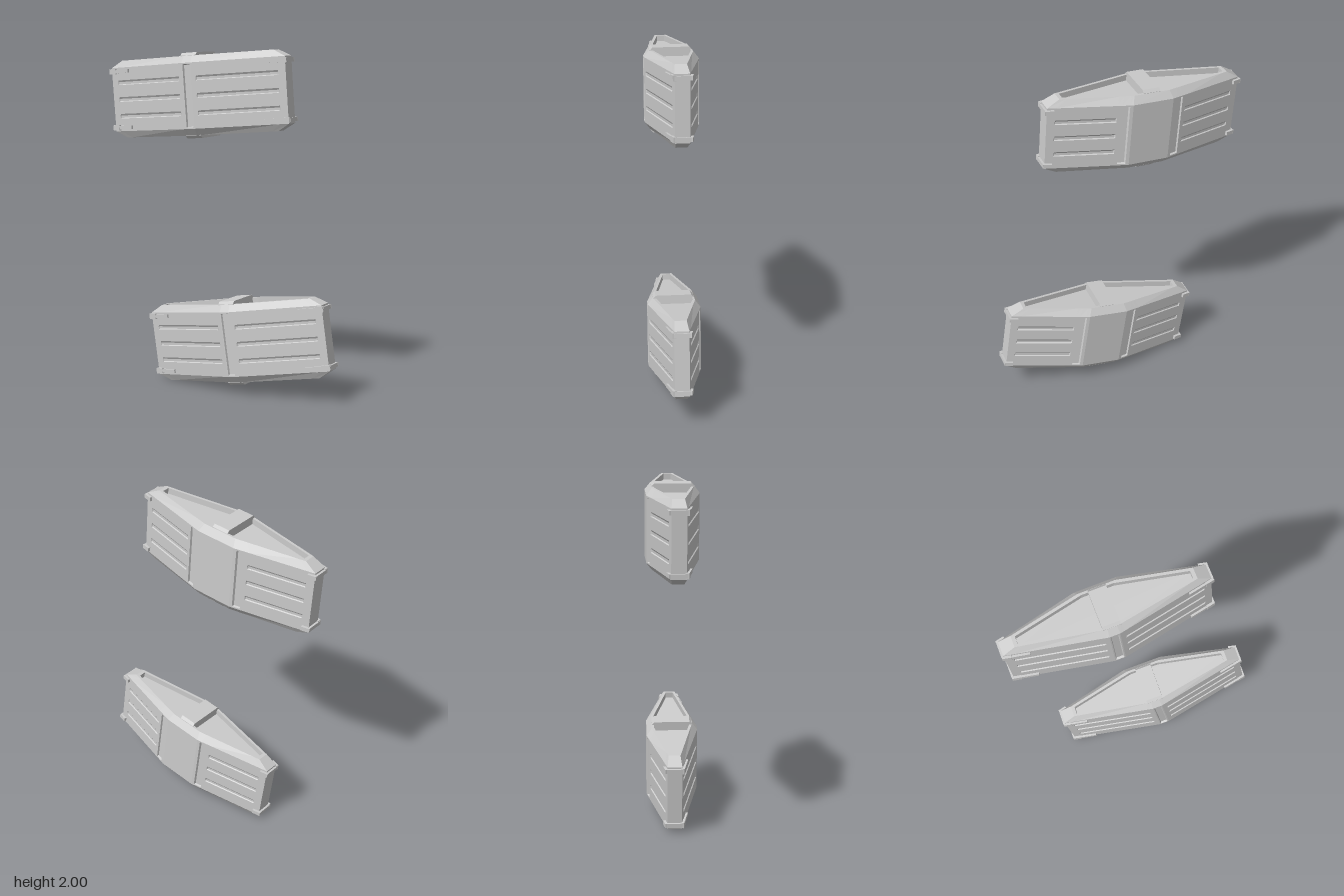
import * as THREE from 'three';

const material = new THREE.MeshStandardMaterial({ color: 0xcccccc, flatShading: true });
const CAP_Y = 0.23, WALL_Y = 0.19, FLOOR_Y = 0.195, CAP_X = 0.875, CAP_Z = 0.8;
const END_X = 0.578, END_Z = 0.042, DEEP = 0.152;
const frontZ = x => DEEP - (x - 0.03) * (DEEP - END_Z) / (END_X - 0.03);
const backZ = x => -DEEP + (x - 0.12) * (DEEP - END_Z) / (END_X - 0.12);

function add(parent, name, geometry) {
  const mesh = new THREE.Mesh(geometry, material);
  mesh.name = name;
  parent.add(mesh);
  return mesh;
}

// Half outline, front centre to back centre: x, z, kind of recess (S slot, R panel groove)
function outline() {
  const half = [
    [0.019, DEEP, 'S'], [0.023, DEEP, ''], [0.03, DEEP, ''],
    ...[[0.055, ''], [0.06, 'R'], [0.53, 'R'], [0.535, '']].map(([x, k]) => [x, frontZ(x), k]),
    [END_X, END_Z, ''], [END_X, -END_Z, ''],
    ...[[0.535, ''], [0.53, 'R'], [0.21, 'R'], [0.205, ''], [0.185, ''], [0.181, 'S'], [0.142, 'S'], [0.138, '']]
      .map(([x, k]) => [x, backZ(x), k]),
    [0.12, -DEEP, ''],
  ];
  return [...half, ...half.slice().reverse().map(([x, z, k]) => [-x, z, k])];
}

// Faceted shell lofted through horizontal rings, with grooves pressed into the walls
function shellGeometry() {
  const section = outline();
  const levels = [[-CAP_Y, 'cap'], [-WALL_Y, ''], [-0.182, ''], [-0.178, 'S']];
  for (const y of [-0.1, 0, 0.1]) {
    levels.push([y - 0.014, 'S'], [y - 0.01, 'SR'], [y + 0.004, 'SR'], [y + 0.014, 'S']);
  }
  levels.push([0.178, 'S'], [0.182, ''], [WALL_Y, ''], [CAP_Y, 'cap']);
  const rings = levels.map(([y, mode]) => section.map(([x, z, kind]) => {
    if (mode === 'cap') return [x * CAP_X, y, z * CAP_Z];
    const push = kind && mode.includes(kind) ? (kind === 'S' ? 0.012 : 0.006) : 0;
    return [x, y, z - Math.sign(z) * push];
  }));
  const positions = [];
  for (let r = 0; r < rings.length - 1; r++) {
    const a = rings[r], b = rings[r + 1];
    for (let i = 0; i < a.length; i++) {
      const j = (i + 1) % a.length;
      positions.push(...a[i], ...a[j], ...b[j], ...a[i], ...b[j], ...b[i]);
    }
  }
  const geometry = new THREE.BufferGeometry();
  geometry.setAttribute('position', new THREE.Float32BufferAttribute(positions, 3));
  geometry.computeVertexNormals();
  return geometry;
}

const capPoints = () => [
  [0.03, DEEP], [END_X, END_Z], [END_X, -END_Z], [0.12, -DEEP],
  [-0.12, -DEEP], [-END_X, -END_Z], [-END_X, END_Z], [-0.03, DEEP],
].map(([x, z]) => new THREE.Vector2(x * CAP_X, -z * CAP_Z));

// Capped end: rim with two tapered openings, recessed floor and a raised cross strap
function capGroup() {
  const group = new THREE.Group();
  const rim = new THREE.Shape(capPoints());
  for (const s of [1, -1]) {
    rim.holes.push(new THREE.Path([[0.05, 0.102], [0.485, 0.022], [0.485, -0.022], [0.09, -0.108], [0.05, -0.108]]
      .map(([x, z]) => new THREE.Vector2(s * x, -z))));
  }
  const rimGeometry = new THREE.ExtrudeGeometry(rim, { depth: CAP_Y - FLOOR_Y, bevelEnabled: false });
  add(group, 'rim', rimGeometry.rotateX(-Math.PI / 2).translate(0, FLOOR_Y, 0));
  const floor = new THREE.ShapeGeometry(new THREE.Shape(capPoints()));
  add(group, 'recessFloor', floor.rotateX(-Math.PI / 2).translate(0, FLOOR_Y, 0));

  const profile = new THREE.Shape([[-0.12, 0.19], [0.12, 0.19], [0.12, 0.232], [0.105, 0.247], [-0.105, 0.247], [-0.12, 0.232]]
    .map(p => new THREE.Vector2(...p)));
  const strap = new THREE.ExtrudeGeometry(profile, { depth: 0.1, bevelEnabled: false });
  add(group, 'crossStrap', strap.translate(0, 0, -0.05).rotateY(Math.PI / 2));
  return group;
}

// Clip wrapping one end of the shell
function addClip(parent, side, y) {
  const clip = new THREE.Group();
  clip.name = 'endClip';
  clip.position.y = y;
  const frontAngle = Math.atan2(DEEP - END_Z, END_X - 0.03);
  const backAngle = Math.atan2(DEEP - END_Z, END_X - 0.12);
  const arm = (name, length, height, thick, x, z, angle) => {
    const mesh = add(clip, name, new THREE.BoxGeometry(length, height, thick));
    mesh.position.set(side * x, 0, z);
    mesh.rotation.y = side * angle;
  };
  arm('frontArm', 0.14, 0.022, 0.018, 0.51, frontZ(0.51) + 0.003, frontAngle);
  arm('frontPad', 0.05, 0.032, 0.022, 0.563, frontZ(0.563) + 0.003, frontAngle);
  arm('endBar', 0.016, 0.024, 0.1, 0.582, -0.005, 0);
  arm('backArm', 0.05, 0.024, 0.022, 0.565, backZ(0.565) - 0.004, -backAngle);
  parent.add(clip);
}

function container(name) {
  const group = new THREE.Group();
  group.name = name;
  add(group, 'shell', shellGeometry());
  const top = capGroup(), bottom = capGroup();
  top.name = 'topCap';
  bottom.name = 'bottomCap';
  bottom.rotation.z = Math.PI;
  group.add(top, bottom);
  for (const side of [1, -1]) for (const y of [0.168, -0.168]) addClip(group, side, y);
  return group;
}

export function createModel() {
  const model = new THREE.Group();
  model.name = 'containerPair';
  const upper = container('upperContainer');
  upper.position.set(-0.14, 1.735, 0);
  upper.rotation.set(0, 0.052, 0.075);
  const lower = container('lowerContainer');
  lower.position.set(0.135, 0.305, 0);
  lower.rotation.set(0, 0.02, 0.145);
  model.add(upper, lower);
  return model;
}
